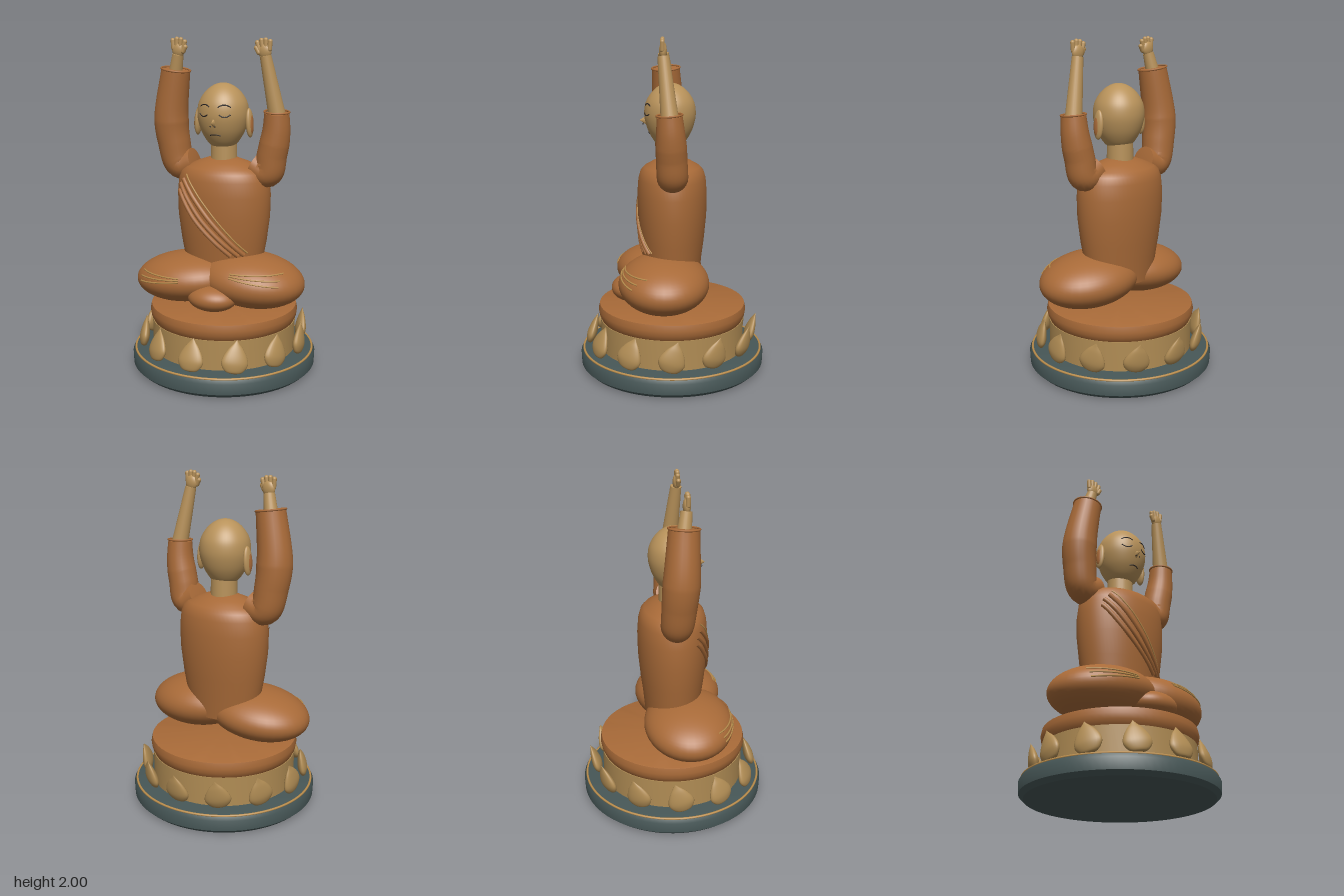
import * as THREE from 'three';
import { toCreasedNormals } from 'three/addons/utils/BufferGeometryUtils.js';

const V = (x, y, z) => new THREE.Vector3(x, y, z);
const material = (name, color) => new THREE.MeshStandardMaterial({ name, color });

// Linear interpolation in a list of [key, value] pairs
function lerpTable(table, k) {
  for (let i = 1; i < table.length; i++) {
    const [a, va] = table[i - 1], [b, vb] = table[i];
    if (k <= b) return va + (vb - va) * Math.max(0, (k - a) / (b - a));
  }
  return table[table.length - 1][1];
}

// Turned solid from [height, radius] pairs
function turned(table, segments = 64, crease = 0.6) {
  const g = new THREE.LatheGeometry(table.map(([y, r]) => new THREE.Vector2(r, y)), segments);
  return toCreasedNormals(g, crease);
}

// Tube with a radius that changes along its path; zero radii close the ends
function taperedTube(points, radii, segments = 48) {
  const curve = new THREE.CatmullRomCurve3(points);
  const g = new THREE.TubeGeometry(curve, segments, 1, 24);
  const p = g.attributes.position, v = V(0, 0, 0);
  for (let i = 0; i <= segments; i++) {
    const c = curve.getPointAt(i / segments), r = lerpTable(radii, i / segments);
    for (let j = 0; j <= 24; j++) {
      const k = i * 25 + j;
      v.fromBufferAttribute(p, k).sub(c).multiplyScalar(r).add(c);
      p.setXYZ(k, v.x, v.y, v.z);
    }
  }
  return toCreasedNormals(g, 0.9);
}

export function createModel() {
  const model = new THREE.Group();
  model.name = 'meditatingMonk';
  const robe = material('robeOrange', 0xa86a38);
  const skin = material('skinTan', 0xb8925a);
  const gold = material('lotusGold', 0xb08c54);
  const trim = material('trimGold', 0xb88c4c);
  const slate = material('baseSlate', 0x465656);
  const ink = material('faceLines', 0x2c2624);

  function add(name, geometry, mat, parent = model) {
    const m = new THREE.Mesh(geometry, mat);
    m.name = name;
    parent.add(m);
    return m;
  }
  function ellipsoid(name, mat, c, r, parent) {
    const m = add(name, new THREE.SphereGeometry(1, 40, 28), mat, parent);
    m.position.set(...c);
    m.scale.set(...r);
    return m;
  }
  function cord(name, mat, points, radius) {
    return add(name, new THREE.TubeGeometry(new THREE.CatmullRomCurve3(points), 28, radius, 8), mat);
  }
  function limb(name, mat, a, b, ra, rb, parent) {
    const m = add(name, new THREE.CylinderGeometry(rb, ra, a.distanceTo(b), 24), mat, parent);
    m.position.copy(a).lerp(b, 0.5);
    m.quaternion.setFromUnitVectors(V(0, 1, 0), b.clone().sub(a).normalize());
    return m;
  }

  // Pedestal
  add('base', turned([[0, 0], [0, 0.535], [0.025, 0.562], [0.09, 0.565], [0.115, 0.55], [0.12, 0.53], [0.12, 0]], 80), slate);
  const rim = add('baseRim', new THREE.TorusGeometry(0.547, 0.007, 10, 80), trim);
  rim.rotation.x = Math.PI / 2;
  rim.position.y = 0.114;
  add('lotusDrum', turned([[0.11, 0], [0.11, 0.44], [0.3, 0.44], [0.3, 0]]), gold);
  add('cushion', turned([[0.285, 0], [0.285, 0.42], [0.3, 0.435], [0.33, 0.448], [0.36, 0.453], [0.395, 0.445], [0.397, 0.44], [0.397, 0]]), robe);

  // Lotus petals, all leaning towards the back
  const petal = new THREE.LatheGeometry(new THREE.SplineCurve([[0, -0.09], [0.045, -0.08], [0.073, -0.04],
    [0.07, 0], [0.045, 0.05], [0.017, 0.085], [0, 0.108]].map(q => new THREE.Vector2(...q))).getPoints(24), 24);
  petal.scale(1.04, 0.98, 0.4);
  for (let i = 0; i < 12; i++) {
    const a = i * Math.PI / 6;
    const m = add('lotusPetal', petal, gold);
    m.position.set(0.49 * Math.sin(a), 0.214, 0.49 * Math.cos(a));
    m.rotation.set(-0.3, a, 0);
  }

  // Crossed legs with thin fold lines lying on them
  const legs = [
    { name: 'rightLeg', c: [-0.2, 0.56, 0.08], r: [0.33, 0.15, 0.268], tilt: 0.1, y: 0.55, side: -1 },
    { name: 'leftLeg', c: [0.2, 0.575, 0.05], r: [0.325, 0.16, 0.268], tilt: -0.08, y: 0.6, side: 1 },
  ];
  for (const { name, c, r, tilt, y, side } of legs) {
    ellipsoid(name, robe, c, r).rotation.z = tilt;
    for (let k = 0; k < 3; k++) {
      const pts = [];
      for (let i = 0; i <= 8; i++) {
        const px = side * (0.15 + 0.035 * i), py = y + 0.03 * k + 0.005 * (8 - i) * (2 - k) / 2;
        const dx = px - c[0], dy = py - c[1];
        const u = (dx * Math.cos(tilt) + dy * Math.sin(tilt)) / r[0];
        const w = (dy * Math.cos(tilt) - dx * Math.sin(tilt)) / r[1];
        pts.push(V(px, py, c[2] + r[2] * Math.sqrt(Math.max(0, 1 - u * u - w * w)) + 0.001));
      }
      cord('legFold', trim, pts, 0.005);
    }
  }
  ellipsoid('foot', robe, [0.03, 0.495, 0.25], [0.15, 0.078, 0.12]);

  // Torso, an oval turned shape
  const torso = [[0.55, 0.23], [0.7, 0.25], [0.8, 0.268], [0.95, 0.287], [1.08, 0.29], [1.17, 0.28],
    [1.215, 0.262], [1.24, 0.232], [1.27, 0.16], [1.295, 0.085], [1.3, 0]];
  const depth = 0.72;
  add('torso', turned(torso, 64, 0.7), robe).scale.z = depth;

  // Diagonal sash folds following the chest
  const onChest = (x, y) => V(x, y, depth * Math.sqrt(Math.max(0.0004, lerpTable(torso, y) ** 2 - x * x)));
  function sash(name, mat, a, mid, b, radius) {
    const path = new THREE.SplineCurve([a, mid, b].map(q => new THREE.Vector2(...q)));
    cord(name, mat, path.getPoints(16).map(q => onChest(q.x, q.y)), radius);
  }
  sash('sashEdge', trim, [-0.18, 1.2], [0.0, 0.99], [0.2, 0.75], 0.005);
  sash('sashFold', robe, [-0.2, 1.17], [-0.02, 0.96], [0.18, 0.74], 0.014);
  sash('sashFold', robe, [-0.225, 1.14], [-0.06, 0.94], [0.15, 0.735], 0.014);
  sash('sashFold', robe, [-0.235, 1.1], [-0.1, 0.93], [0.11, 0.735], 0.014);

  // Neck, head and nose
  limb('neck', skin, V(0, 1.26, 0), V(0, 1.4, 0), 0.08, 0.078);
  const headTable = [[1.352, 0], [1.357, 0.045], [1.375, 0.078], [1.41, 0.106], [1.46, 0.132], [1.52, 0.149], [1.57, 0.152],
    [1.62, 0.143], [1.665, 0.119], [1.7, 0.087], [1.723, 0.052], [1.733, 0.022], [1.735, 0]];
  const skull = new THREE.SplineCurve(headTable.map(([y, r]) => new THREE.Vector2(r, y))).getPoints(48);
  skull.forEach(q => { q.x = Math.max(0, q.x); });
  const headZ = 0.012;
  add('head', new THREE.LatheGeometry(skull, 48), skin).position.z = headZ;
  const nose = add('nose', new THREE.ConeGeometry(0.03, 0.085, 20), skin);
  nose.scale.set(0.9, 1, 1.9);
  nose.rotation.x = Math.PI / 2;
  nose.position.set(0, 1.515, 0.15);

  // Closed eyes, brows, nostrils and mouth as thin lines on the face
  const onFace = (x, y) => V(x, y, headZ + Math.sqrt(lerpTable(headTable, y) ** 2 - x * x) + 0.001);
  function faceLine(name, x, y, half, bend) {
    const pts = [];
    for (let i = -4; i <= 4; i++) pts.push(onFace(x + half * i / 4, y + bend * (1 - (i / 4) ** 2)));
    cord(name, ink, pts, 0.0035);
  }
  for (const s of [-1, 1]) {
    faceLine('closedEye', s * 0.065, 1.562, 0.03, -0.014);
    faceLine('eyebrow', s * 0.06, 1.603, 0.034, 0.014);
    ellipsoid('nostril', ink, [s * 0.014, 1.494, 0.171], [0.004, 0.004, 0.004]);
    // Long ears
    ellipsoid('ear', skin, [s * 0.163, 1.505, 0.003], [0.021, 0.086, 0.037]).rotation.z = s * 0.06;
    ellipsoid('innerEar', robe, [s * 0.173, 1.5, 0.006], [0.014, 0.06, 0.024]).rotation.z = s * 0.06;
  }
  faceLine('mouth', 0, 1.437, 0.033, 0.006);

  // Raised arms: sleeve, cuff, forearm and hand
  const arms = [
    { side: 'right', path: [V(-0.18, 1.26, 0), V(-0.285, 1.235, 0), V(-0.325, 1.38, 0.01), V(-0.335, 1.52, 0.02), V(-0.293, 1.812, 0.036)],
      radii: [[0, 0], [0.015, 0.082], [0.2, 0.095], [0.55, 0.105], [0.985, 0.086], [1, 0]],
      cuff: 0.086, wrist: V(-0.272, 1.895, 0.05), s: -1 },
    { side: 'left', path: [V(0.18, 1.26, 0), V(0.275, 1.22, 0), V(0.305, 1.33, 0.005), V(0.33, 1.46, 0.01), V(0.335, 1.585, 0.018)],
      radii: [[0, 0], [0.015, 0.08], [0.2, 0.09], [0.6, 0.088], [0.98, 0.072], [1, 0]],
      cuff: 0.072, wrist: V(0.274, 1.895, 0.05), s: 1 },
  ];
  for (const { side, path, radii, cuff, wrist, s } of arms) {
    add(side + 'Sleeve', taperedTube(path, radii, 64), robe);
    const end = path[4], dir = new THREE.CatmullRomCurve3(path).getTangentAt(1);
    const ring = add(side + 'Cuff', new THREE.TorusGeometry(cuff, 0.006, 8, 36), robe);
    ring.position.copy(end).addScaledVector(dir, -0.007);
    ring.quaternion.setFromUnitVectors(V(0, 0, 1), dir);
    const inside = end.clone().lerp(path[3], 0.15);
    limb(side + 'Forearm', skin, inside, wrist, s > 0 ? 0.05 : 0.042, 0.033);

    // Palm with four fingers and a thumb
    const hand = new THREE.Group();
    hand.name = side + 'Hand';
    hand.position.set(wrist.x - s * 0.004, 1.92, 0.052);
    hand.rotation.z = s * 0.1;
    model.add(hand);
    ellipsoid('palm', skin, [0, 0, 0], [0.04, 0.045, 0.022], hand);
    for (let i = 0; i < 4; i++) {
      const f = add('finger', new THREE.CapsuleGeometry(0.0135, 0.045, 6, 12), skin, hand);
      f.position.set((i - 1.5) * 0.023, 0.04 - 0.005 * Math.abs(i - 1.5) ** 2, 0.004);
      f.rotation.z = -(i - 1.5) * 0.12;
    }
    const thumb = add('thumb', new THREE.CapsuleGeometry(0.014, 0.03, 6, 12), skin, hand);
    thumb.position.set(-s * 0.04, 0.008, 0.008);
    thumb.rotation.z = s * 0.4;
  }
  return model;
}
